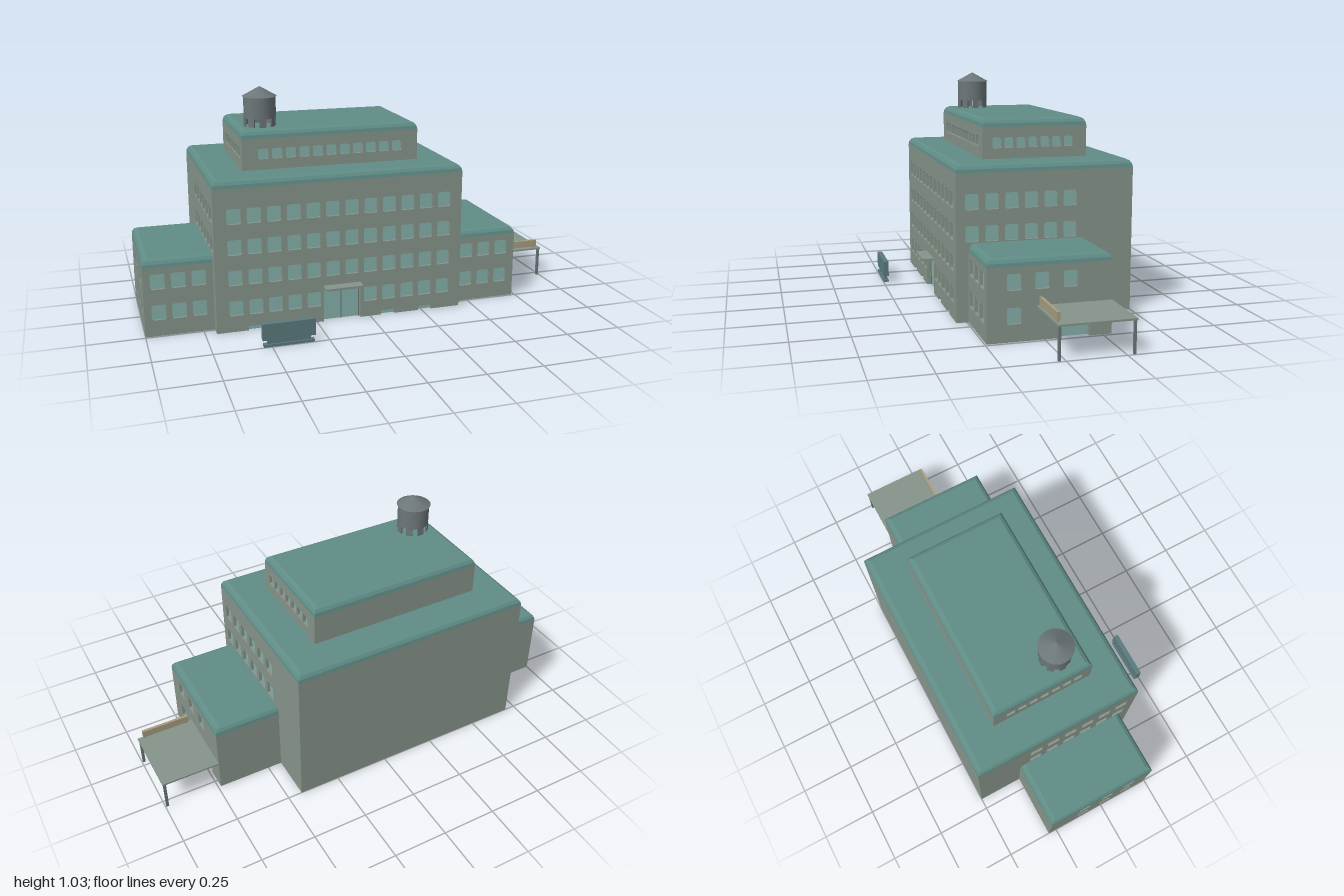
import * as THREE from 'three';

const mat = (color, side = THREE.FrontSide) => new THREE.MeshStandardMaterial({ color, side });
const WALL = mat(0x86948a), ROOF = mat(0x5f8c85), GLASS = mat(0x86b0ab), FLOOR = mat(0x555555);
const METAL = mat(0x6c7678), BOARD = mat(0x5b7a7e), TAN = mat(0xa69c80), TRIM = mat(0x8f94a8);
const DEPTH = 0.025; // wall thickness

function add(parent, name, geometry, material, x = 0, y = 0, z = 0) {
  const mesh = new THREE.Mesh(geometry, material);
  mesh.name = name;
  mesh.position.set(x, y, z);
  parent.add(mesh);
  return mesh;
}

// box given by its min and max corners
function box(parent, name, material, x0, x1, y0, y1, z0, z1) {
  return add(parent, name, new THREE.BoxGeometry(x1 - x0, y1 - y0, z1 - z0), material,
    (x0 + x1) / 2, (y0 + y1) / 2, (z0 + z1) / 2);
}

function roundedRect(shape, cx, cy, w, h, r = 0.008) {
  const a = cx - w / 2, b = cx + w / 2, c = cy - h / 2, d = cy + h / 2;
  shape.moveTo(a + r, c).lineTo(b - r, c).quadraticCurveTo(b, c, b, c + r);
  shape.lineTo(b, d - r).quadraticCurveTo(b, d, b - r, d);
  shape.lineTo(a + r, d).quadraticCurveTo(a, d, a, d - r);
  shape.lineTo(a, c + r).quadraticCurveTo(a, c, a + r, c);
  return shape;
}

const spread = (from, to, n) => Array.from({ length: n }, (_, i) => from + (to - from) * i / (n - 1));

// grid of windows: centres u along the wall, centres v up the wall
const grid = (us, vs, w, h) => vs.flatMap(v => us.map(u => ({ u, v, w, h })));

// wall panel facing local +z with recessed windows and ground-level notches
function wall(parent, name, length, height, windows = [], notches = []) {
  const g = new THREE.Group();
  g.name = name;
  const L = length / 2;
  const outline = new THREE.Shape().moveTo(-L, 0);
  for (const n of [...notches].sort((p, q) => p.u - q.u)) {
    outline.lineTo(n.u - n.w / 2, 0).lineTo(n.u - n.w / 2, n.h);
    outline.lineTo(n.u + n.w / 2, n.h).lineTo(n.u + n.w / 2, 0);
  }
  outline.lineTo(L, 0).lineTo(L, height).lineTo(-L, height).lineTo(-L, 0);
  windows.forEach(o => outline.holes.push(roundedRect(new THREE.Path(), o.u, o.v, o.w, o.h)));
  const slab = new THREE.ExtrudeGeometry(outline, { depth: DEPTH, bevelEnabled: false, curveSegments: 3 });
  add(g, 'wallPanel', slab.translate(0, 0, -DEPTH), WALL);
  if (windows.length) {
    const panes = windows.map(o => roundedRect(new THREE.Shape(), o.u, o.v, o.w, o.h));
    add(g, 'windowPanes', new THREE.ShapeGeometry(panes, 3), GLASS, 0, 0, -0.013);
  }
  for (const n of notches) {
    add(g, 'groundPane', new THREE.PlaneGeometry(n.w, n.h), GLASS, n.u, n.h / 2, n.h > 0.1 ? -0.022 : -0.013);
  }
  parent.add(g);
  return g;
}

// roof slab with rounded edges, stacked from shrinking rectangles
function roofCap(x0, x1, z0, z1, y0) {
  const rings = [[0, 0], [0.003, 0.015], [0.012, 0.028], [0.026, 0.035]].map(([i, y]) => [
    [x0 + i, y0 + y, z1 - i], [x1 - i, y0 + y, z1 - i], [x1 - i, y0 + y, z0 + i], [x0 + i, y0 + y, z0 + i]]);
  const pos = [];
  const quad = (a, b, c, d) => [a, b, c, a, c, d].forEach(p => pos.push(...p));
  for (let k = 0; k < rings.length - 1; k++) {
    for (let j = 0; j < 4; j++) {
      const m = (j + 1) % 4;
      quad(rings[k][j], rings[k][m], rings[k + 1][m], rings[k + 1][j]);
    }
  }
  quad(...rings[rings.length - 1]);
  const geo = new THREE.BufferGeometry();
  geo.setAttribute('position', new THREE.Float32BufferAttribute(pos, 3));
  geo.computeVertexNormals();
  return geo;
}

// building block; openings are given in world x (front) or z (sides)
function block(parent, name, [x0, x1, z0, z1, y0, y1], open) {
  const g = new THREE.Group();
  g.name = name;
  const cx = (x0 + x1) / 2, cz = (z0 + z1) / 2, h = y1 - y0 - 0.035;
  const sides = [
    ['front', x1 - x0, cx, 1, [cx, y0, z1], 0],
    ['back', x1 - x0, cx, -1, [cx, y0, z0], Math.PI],
    ['left', z1 - z0 - 2 * DEPTH, cz, -1, [x1, y0, cz], Math.PI / 2],
    ['right', z1 - z0 - 2 * DEPTH, cz, 1, [x0, y0, cz], -Math.PI / 2],
  ];
  for (const [side, length, centre, sign, position, angle] of sides) {
    if (open[side] === null) continue; // side buried in a neighbour
    const { windows = [], notches = [] } = open[side] || {};
    const local = o => ({ ...o, u: sign * (o.u - centre), v: (o.v || 0) - y0 });
    const w = wall(g, side + 'Wall', length, h, windows.map(local), notches.map(local));
    w.position.set(...position);
    w.rotation.y = angle;
  }
  add(g, 'roof', roofCap(x0, x1, z0, z1, y1 - 0.035), ROOF);
  if (y0 === 0) box(g, 'floor', FLOOR, x0 + DEPTH, x1 - DEPTH, 0, 0.003, z0 + DEPTH, z1 - DEPTH);
  parent.add(g);
}

export function createModel() {
  const model = new THREE.Group();
  model.name = 'building';
  const W = 0.062, H = 0.069;

  // main block
  const cols = spread(-0.612, 0.35, 12);
  const mainSide = { windows: grid(spread(0.226, -0.211, 6), [0.522, 0.384], 0.06, H) };
  block(model, 'mainBlock', [-0.7, 0.435, -0.5, 0.297, 0, 0.68], {
    front: {
      windows: [...grid(cols, [0.522, 0.384, 0.247], W, H),
        ...grid(cols.filter((_, i) => i !== 5 && i !== 6), [0.108], W, H)],
      notches: [{ u: -0.133, w: 0.172, h: 0.16 },
        ...[-0.53, -0.349, 0.083, 0.265].map(u => ({ u, w: W, h: 0.02 }))],
    },
    left: mainSide, right: mainSide,
  });

  // upper storey
  const topSide = { windows: grid(spread(0.074, -0.256, 7), [0.75], 0.042, 0.047) };
  block(model, 'upperStorey', [-0.54, 0.275, -0.34, 0.139, 0.68, 0.855], {
    front: { windows: grid(spread(-0.444, 0.176, 11), [0.75], 0.047, 0.047) },
    left: topSide, right: topSide,
  });

  // side wings
  const rows = [0.247, 0.108], zs = [0.128, 0.011, -0.109];
  block(model, 'rightWing', [-1, -0.66, -0.29, 0.243, 0, 0.345], {
    front: { windows: grid([-0.938, -0.85, -0.762], rows, W, H) },
    right: { windows: grid(zs, rows, 0.06, H) },
    left: null,
  });
  block(model, 'leftWing', [0.395, 0.737, -0.29, 0.243, 0, 0.345], {
    front: { windows: grid([0.492, 0.58, 0.668], rows, W, H) },
    left: {
      windows: [...grid(zs, [0.247], 0.06, H), { u: 0.128, v: 0.108, w: 0.06, h: H }],
      notches: [{ u: -0.125, w: 0.136, h: 0.132 }],
    },
    right: null,
  });

  // entrance: canopy and door bars
  box(model, 'entranceCanopy', WALL, -0.22, -0.048, 0.16, 0.17, 0.28, 0.35);
  for (const x of [-0.217, -0.133, -0.05]) box(model, 'doorBar', METAL, x - 0.002, x + 0.002, 0, 0.145, 0.274, 0.279);
  box(model, 'doorLintel', WALL, -0.219, -0.047, 0.14, 0.16, 0.273, 0.28);

  // loading door
  for (const y of [0.055, 0.112]) box(model, 'loadingDoorBar', TRIM, 0.713, 0.719, y - 0.004, y + 0.004, -0.193, -0.057);
  box(model, 'loadingDoorHeader', TAN, 0.713, 0.72, 0.116, 0.132, -0.193, -0.057);

  // side canopy on two posts, with a sign board on its front edge
  box(model, 'sideCanopy', WALL, 0.73, 1, 0.137, 0.145, -0.29, 0.033);
  for (const z of [0.025, -0.282]) box(model, 'canopyPost', METAL, 0.984, 0.996, 0, 0.137, z - 0.005, z + 0.005);
  box(model, 'canopyBoard', TAN, 0.757, 0.976, 0.153, 0.187, 0.017, 0.03);
  for (const x of [0.768, 0.965]) box(model, 'canopyBoardFoot', TAN, x - 0.004, x + 0.004, 0.145, 0.153, 0.02, 0.027);

  // free-standing sign in front
  box(model, 'signPanel', BOARD, -0.54, -0.31, 0.03, 0.104, 0.474, 0.497);
  box(model, 'signNeck', BOARD, -0.52, -0.33, 0.012, 0.03, 0.48, 0.491);
  box(model, 'signBase', BOARD, -0.535, -0.315, 0, 0.012, 0.474, 0.498);

  // water tank on the roof
  const tank = new THREE.Group();
  tank.name = 'waterTank';
  tank.position.set(-0.43, 0, 0.013);
  add(tank, 'tankBody', new THREE.CylinderGeometry(0.072, 0.072, 0.095, 24), METAL, 0, 0.9395, 0);
  add(tank, 'tankRoof', new THREE.ConeGeometry(0.078, 0.043, 24), METAL, 0, 1.0085, 0);
  for (let i = 0; i < 8; i++) {
    const a = i * Math.PI / 4;
    const leg = add(tank, 'tankLeg', new THREE.BoxGeometry(0.03, 0.042, 0.008), METAL,
      0.067 * Math.sin(a), 0.873, 0.067 * Math.cos(a));
    leg.rotation.y = a;
  }
  model.add(tank);
  return model;
}
